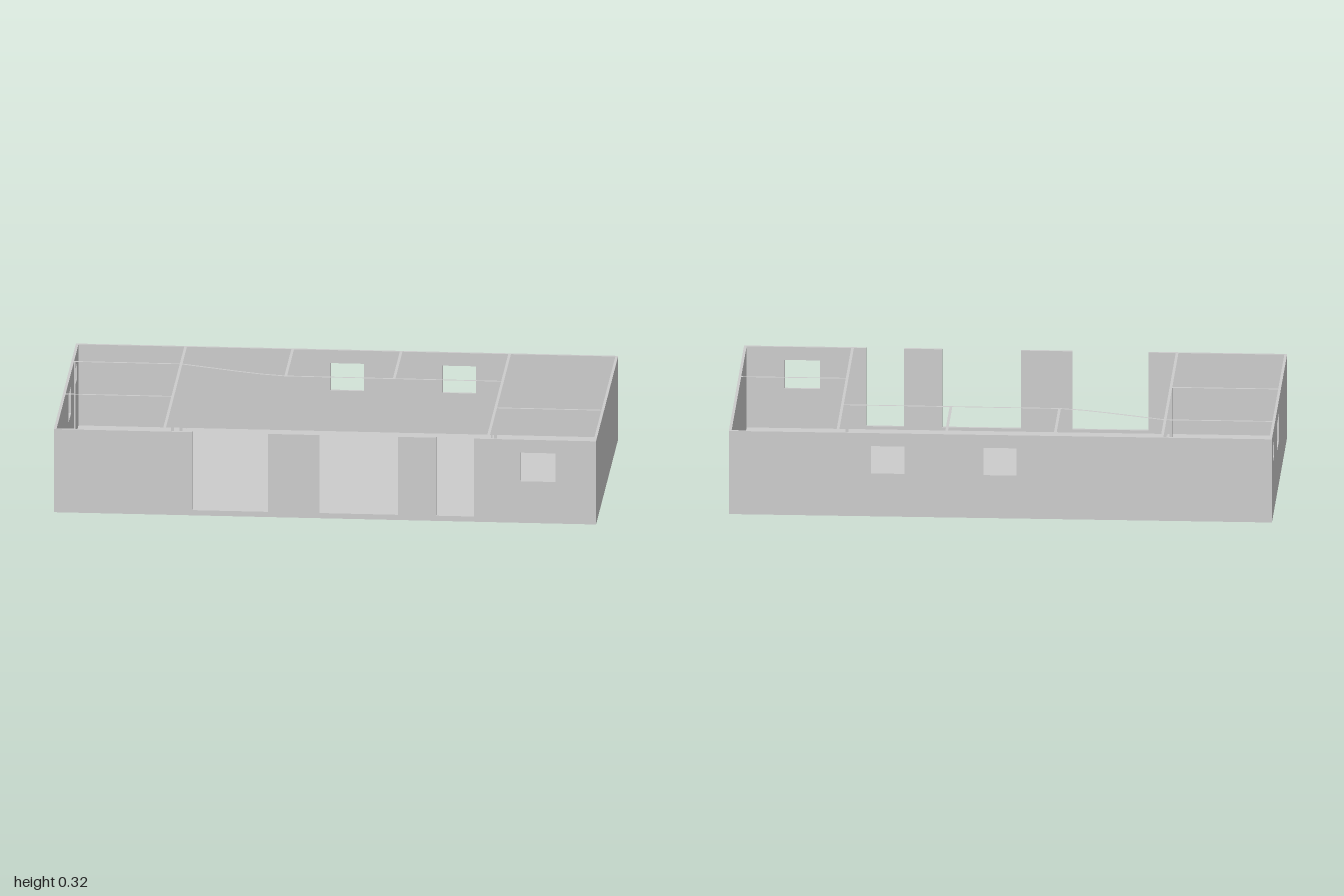
import * as THREE from 'three';

const W = 1, D = 0.533, H = 0.32, T = 0.01, FLOOR = 0.008;

export function createModel() {
  const house = new THREE.Group();
  house.name = 'floorPlan';
  const mat = new THREE.MeshStandardMaterial({ color: 0xcccccc, side: THREE.DoubleSide, flatShading: true });

  const add = (name, geo) => {
    const mesh = new THREE.Mesh(geo, mat);
    mesh.name = name;
    house.add(mesh);
    return mesh;
  };
  const box = (name, w, h, d, x, y, z) =>
    add(name, new THREE.BoxGeometry(w, h, d).translate(x, y, z));

  // Outer wall: doorways are notches open to the top, windows are holes [u0, u1, y0, y1]
  const wall = (name, half, doorways, windows) => {
    const s = new THREE.Shape();
    s.moveTo(half, 0);
    s.lineTo(half, H);
    for (const [u0, u1] of [...doorways].reverse()) {
      s.lineTo(u1, H);
      s.lineTo(u1, 0.02);
      s.lineTo(u0, 0.02);
      s.lineTo(u0, H);
    }
    s.lineTo(-half, H);
    s.lineTo(-half, 0);
    s.closePath();
    for (const [u0, u1, y0, y1] of windows) {
      const p = new THREE.Path();
      p.moveTo(u0, y0);
      p.lineTo(u0, y1);
      p.lineTo(u1, y1);
      p.lineTo(u1, y0);
      p.closePath();
      s.holes.push(p);
    }
    return add(name, new THREE.ExtrudeGeometry(s, { depth: T, bevelEnabled: false }));
  };

  box('floor', 2 * W, FLOOR, 2 * D, 0, FLOOR / 2, 0);

  wall('frontWall', W, [[-0.49, -0.21], [-0.02, 0.27], [0.41, 0.55]], [[0.72, 0.85, 0.16, 0.27]])
    .position.z = D - T;
  wall('backWall', W, [], [[-0.06, 0.063, 0.165, 0.27], [0.353, 0.477, 0.165, 0.27]])
    .position.z = -D;
  // Side walls run along z: u = -z
  const right = wall('rightWall', D - T, [], [[0.05, 0.17, 0.165, 0.27], [0.38, 0.45, 0.21, 0.27]]);
  right.rotation.y = Math.PI / 2;
  right.position.x = -W;
  const left = wall('leftWall', D - T, [], []);
  left.rotation.y = Math.PI / 2;
  left.position.x = W - T;

  // Inner partitions are open frames: a thin top strip between points on the plan
  const strip = (name, a, b) => {
    const dx = b[0] - a[0], dz = b[1] - a[1];
    const geo = new THREE.PlaneGeometry(Math.hypot(dx, dz), T).rotateX(-Math.PI / 2);
    geo.rotateY(-Math.atan2(dz, dx));
    geo.translate((a[0] + b[0]) / 2, H, (a[1] + b[1]) / 2);
    add(name, geo);
  };
  const E = D - T;
  const partitions = [
    [[-0.595, -E], [-0.595, E]],
    [[0.6, -E], [0.6, E]],
    [[-0.99, -0.31], [-0.595, -0.31]],
    [[-0.99, 0.095], [-0.595, 0.095]],
    [[0.6, 0.145], [0.99, 0.145]],
    [[-0.2, -E], [-0.2, -0.19]],
    [[0.2, -E], [0.2, -0.19]],
    [[-0.595, -0.31], [-0.38, -0.235], [-0.29, -0.207], [-0.2, -0.19], [0.6, -0.185]],
  ];
  for (const path of partitions)
    for (let i = 1; i < path.length; i++) strip('partitionTop', path[i - 1], path[i]);

  // Full-height posts where partitions meet
  const posts = [
    [-0.595, 0.095], [-0.595, -0.31], [-0.595, -E], [-0.99, -0.31],
    [0.2, -E], [0.6, 0.145], [-0.2, -E],
  ];
  for (const [x, z] of posts) box('partitionPost', T, H - FLOOR, T, x, (H + FLOOR) / 2, z);

  // Short posts above inner doorways
  for (const [x, z] of [[-0.595, -0.21], [0.6, 0.33]]) box('doorHeadPost', 0.006, 0.09, T, x, H - 0.045, z);

  // Thresholds of inner doorways: [x, z0, z1]
  for (const [x, z0, z1] of [[-0.595, 0.25, 0.36], [-0.595, -0.41, -0.2], [-0.2, -0.31, -0.18]])
    box('threshold', T, 0.004, z1 - z0, x, FLOOR + 0.002, (z0 + z1) / 2);

  return house;
}
